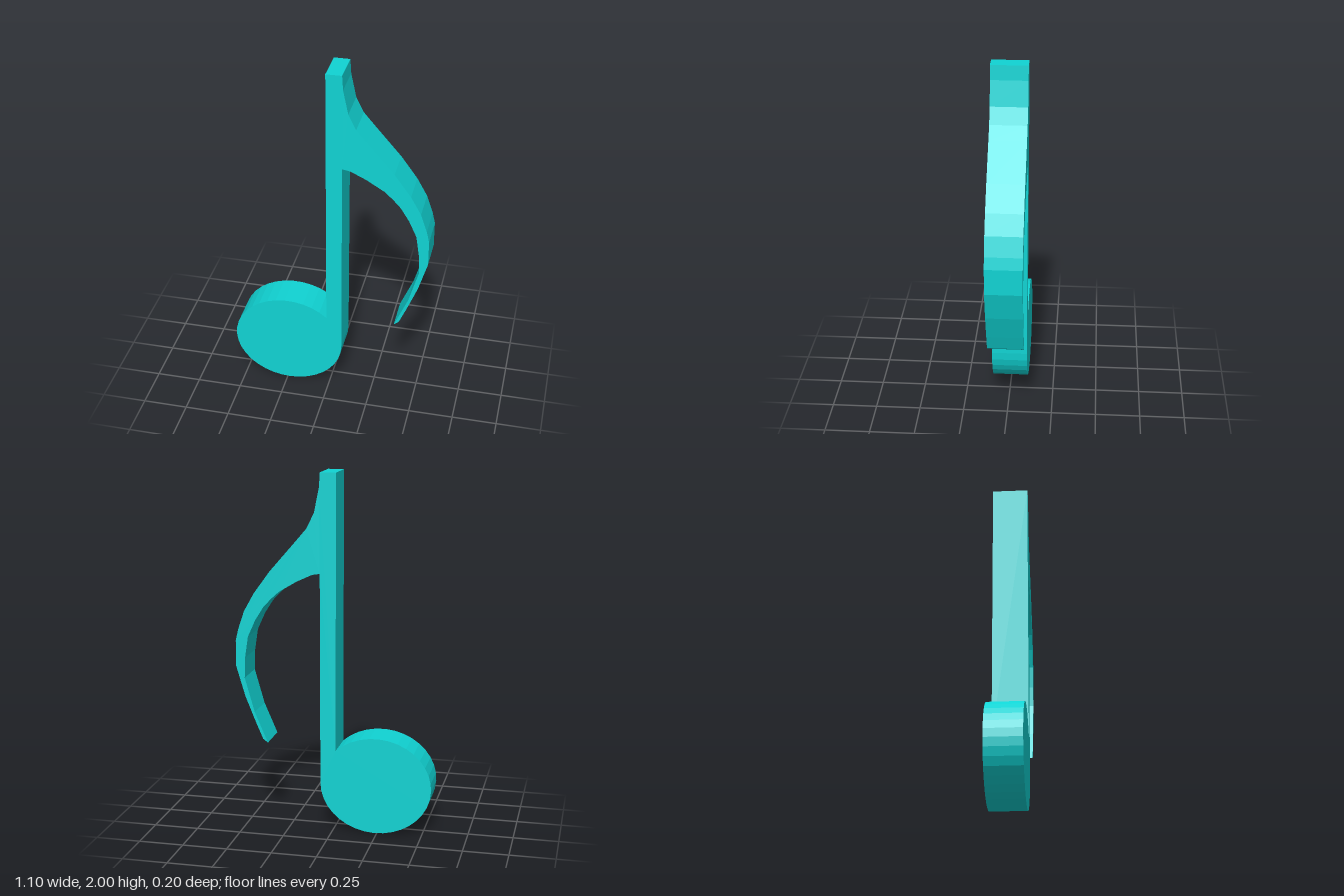
import * as THREE from 'three';

const DEPTH = 0.2;

export function createModel() {
  const group = new THREE.Group();
  group.name = 'musicNote';
  const turquoise = new THREE.MeshStandardMaterial({ color: 0x10d3d3 });
  turquoise.name = 'turquoise';

  // Outer edge of the flag, from the stem's top down to the tip
  const flagOuter = [
    [0.07, 2], [0.075, 1.92], [0.103, 1.785], [0.145, 1.7], [0.2, 1.635],
    [0.352, 1.46], [0.443, 1.335], [0.5, 1.233], [0.535, 1.13], [0.55, 1.065],
    [0.55, 0.92], [0.5, 0.75], [0.44, 0.6], [0.4, 0.507], [0.373, 0.487],
  ];
  // Inner edge of the flag, from the tip back up to the stem
  const flagInner = [
    [0.447, 0.66], [0.502, 0.855], [0.498, 0.97], [0.48, 1.09], [0.437, 1.185],
    [0.39, 1.26], [0.347, 1.307], [0.3, 1.35], [0.2, 1.41], [0.115, 1.45], [0.072, 1.457],
  ];

  // Oval head, running clockwise from the stem's right side to its left side
  const head = [];
  const steps = 32, sweep = Math.PI * 2 - 0.768;
  for (let i = 0; i <= steps; i++) {
    const a = -sweep * i / steps;
    head.push([-0.24 + 0.312 * Math.cos(a), 0.275 + 0.275 * Math.sin(a)]);
  }

  // Stem, flag and head share one continuous outline
  const outline = [[-0.017, 2], ...flagOuter, ...flagInner, ...head];
  const shape = new THREE.Shape(outline.map(([x, y]) => new THREE.Vector2(x, y)));
  const geometry = new THREE.ExtrudeGeometry(shape, { depth: DEPTH, bevelEnabled: false });
  geometry.translate(0, 0, -DEPTH / 2);

  const note = new THREE.Mesh(geometry, turquoise);
  note.name = 'noteBody';
  group.add(note);
  return group;
}
